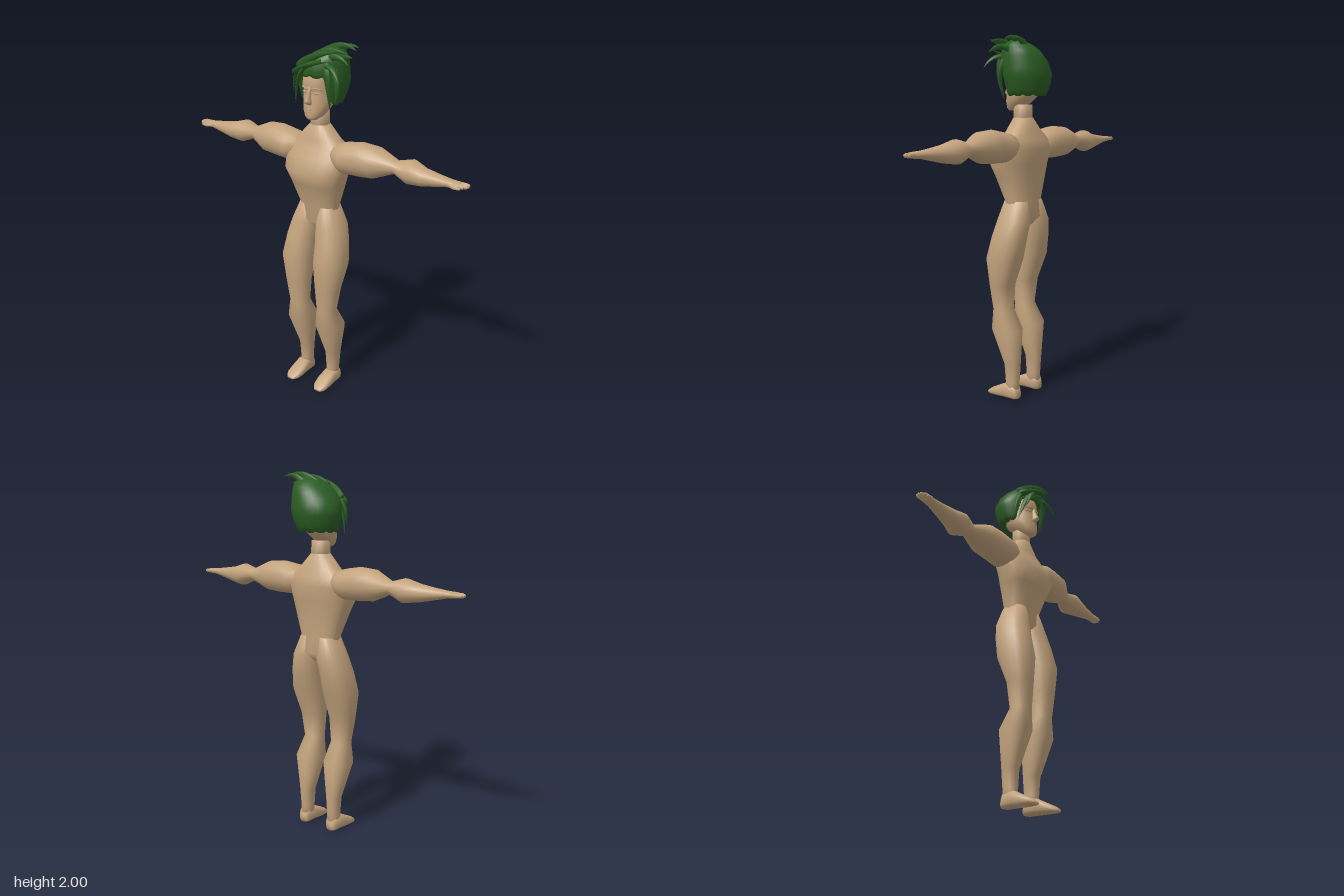
import * as THREE from 'three';

const skin = new THREE.MeshStandardMaterial({ color: 0xc2a27c });
skin.name = 'skin';
const green = new THREE.MeshStandardMaterial({ color: 0x2a5c22, side: THREE.DoubleSide });
green.name = 'green hair';

// Skin over a list of equal rings of points; optional end caps.
function skinRings(rings, caps = true) {
  const n = rings[0].length, pos = [], idx = [];
  rings.forEach(r => r.forEach(p => pos.push(p.x, p.y, p.z)));
  for (let i = 0; i < rings.length - 1; i++) for (let j = 0; j < n; j++) {
    const a = i * n + j, b = i * n + (j + 1) % n;
    idx.push(a, b, b + n, a, b + n, a + n);
  }
  if (caps) [0, rings.length - 1].forEach((k, end) => {
    const c = new THREE.Vector3();
    rings[k].forEach(p => c.addScaledVector(p, 1 / n));
    const ci = pos.length / 3;
    pos.push(c.x, c.y, c.z);
    for (let j = 0; j < n; j++) {
      const a = k * n + j, b = k * n + (j + 1) % n;
      if (end) idx.push(a, b, ci); else idx.push(b, a, ci);
    }
  });
  const g = new THREE.BufferGeometry();
  g.setAttribute('position', new THREE.Float32BufferAttribute(pos, 3));
  g.setIndex(idx);
  g.computeVertexNormals();
  return g;
}

// Rounded cross-sections [t, uMin, uMax, vMin, vMax] in ascending t.
// axis y: u=z v=x; axis x: u=y v=z; axis z: u=x v=y
function loft(axis, sections, n = 16, e = 2.2) {
  const bend = c => Math.sign(c) * Math.abs(c) ** (2 / e);
  return skinRings(sections.map(([t, u0, u1, v0, v1]) => Array.from({ length: n }, (_, j) => {
    const a = j / n * Math.PI * 2;
    const u = (u0 + u1) / 2 + (u1 - u0) / 2 * bend(Math.cos(a));
    const v = (v0 + v1) / 2 + (v1 - v0) / 2 * bend(Math.sin(a));
    if (axis === 'y') return new THREE.Vector3(v, t, u);
    if (axis === 'x') return new THREE.Vector3(t, u, v);
    return new THREE.Vector3(u, v, t);
  })));
}

function mirrored(g) {
  const m = g.clone().scale(-1, 1, 1), ix = m.index.array;
  for (let i = 0; i < ix.length; i += 3) [ix[i], ix[i + 1]] = [ix[i + 1], ix[i]];
  m.computeVertexNormals();
  return m;
}

// Tapered lock of hair along a bent path
function lock(a, b, c, width, thick) {
  const curve = new THREE.QuadraticBezierCurve3(new THREE.Vector3(...a), new THREE.Vector3(...b), new THREE.Vector3(...c));
  const steps = 7, f = curve.computeFrenetFrames(steps);
  return skinRings(Array.from({ length: steps + 1 }, (_, i) => {
    const t = i / steps, s = 0.03 + 0.97 * Math.pow(1 - t, 0.8), p = curve.getPointAt(t);
    return Array.from({ length: 6 }, (_, j) => {
      const q = j / 6 * Math.PI * 2;
      return p.clone().addScaledVector(f.normals[i], Math.cos(q) * thick * s)
        .addScaledVector(f.binormals[i], Math.sin(q) * width * s);
    });
  }));
}

// Hair shell sections: y, zMin, zMax, xMin, xMax
const shell = [
  [1.67, -0.115, 0.075, -0.105, 0.105], [1.74, -0.145, 0.085, -0.13, 0.13], [1.80, -0.157, 0.095, -0.143, 0.148],
  [1.87, -0.145, 0.105, -0.112, 0.148], [1.92, -0.125, 0.09, -0.06, 0.145],
  [1.955, -0.09, 0.06, -0.01, 0.135], [1.98, -0.04, 0.02, 0.04, 0.1]];
function shellAt(y) {
  let k = 0;
  while (k < shell.length - 2 && y > shell[k + 1][0]) k++;
  const t = (y - shell[k][0]) / (shell[k + 1][0] - shell[k][0]);
  return shell[k].map((v, i) => v + (shell[k + 1][i] - v) * t);
}
function hairShell() {
  const n = 36, rows = 10;
  // hairline: high over the face, low around the sides and nape, slightly ragged
  const hem = (a, j) => {
    const d = Math.abs(Math.atan2(Math.sin(a), Math.cos(a)));
    return 1.83 - 0.145 * THREE.MathUtils.smoothstep(d, 0.6, 1.05) + (j % 3 === 0 ? 0.01 : 0);
  };
  return skinRings(Array.from({ length: rows + 2 }, (_, i) => Array.from({ length: n }, (_, j) => {
    const a = j / n * Math.PI * 2, t = Math.max(0, i - 1) / rows;
    const y = THREE.MathUtils.lerp(hem(a, j), 1.98, t);
    const [, z0, z1, x0, x1] = shellAt(y), s = i === 0 ? 0.72 : 1;
    return new THREE.Vector3((x0 + x1) / 2 + (x1 - x0) / 2 * s * Math.sin(a), y + (i === 0 ? 0.012 : 0),
      (z0 + z1) / 2 + (z1 - z0) / 2 * s * Math.cos(a));
  })));
}

export function createModel() {
  const model = new THREE.Group();
  const add = (name, g, mat = skin) => {
    const m = new THREE.Mesh(g, mat);
    m.name = name;
    model.add(m);
  };
  const pair = (name, g) => { add('left' + name, g); add('right' + name, mirrored(g)); };

  // Torso and neck
  add('torso', loft('y', [
    [0.985, -0.05, 0.04, -0.02, 0.02], [1.03, -0.085, 0.08, -0.13, 0.13], [1.12, -0.073, 0.076, -0.118, 0.118],
    [1.25, -0.085, 0.12, -0.162, 0.162], [1.32, -0.092, 0.15, -0.186, 0.186], [1.40, -0.105, 0.112, -0.2, 0.2],
    [1.45, -0.092, 0.085, -0.185, 0.185], [1.495, -0.072, 0.066, -0.125, 0.125], [1.57, -0.05, 0.05, -0.052, 0.052]], 24, 2.4));
  add('neck', loft('y', [[1.55, -0.05, 0.05, -0.052, 0.052], [1.64, -0.048, 0.05, -0.05, 0.05]]));

  // Arms
  pair('Arm', loft('x', [
    [0.10, 1.36, 1.48, -0.075, 0.07], [0.18, 1.335, 1.5, -0.088, 0.1], [0.27, 1.335, 1.515, -0.085, 0.088],
    [0.36, 1.343, 1.508, -0.092, 0.085], [0.475, 1.39, 1.457, -0.06, 0.027], [0.56, 1.355, 1.48, -0.092, 0.055],
    [0.64, 1.365, 1.457, -0.06, 0.046], [0.72, 1.382, 1.445, -0.044, 0.035], [0.79, 1.397, 1.436, -0.032, 0.028],
    [0.845, 1.402, 1.433, -0.03, 0.03]], 18, 2.1));
  // Fingers and thumb
  [0.885, 0.89, 0.888, 0.875].forEach((tip, i) => {
    const z = -0.022 + i * 0.014;
    pair('Finger' + (i + 1), loft('x', [
      [0.82, 1.406, 1.43, z - 0.008, z + 0.008], [tip - 0.008, 1.407, 1.428, z - 0.007, z + 0.007],
      [tip, 1.412, 1.424, z - 0.004, z + 0.004]], 8));
  });
  pair('Thumb', loft('x', [
    [0.78, 1.404, 1.424, 0.008, 0.026], [0.83, 1.4, 1.42, 0.02, 0.038], [0.86, 1.405, 1.417, 0.024, 0.036]], 8));

  // Legs
  pair('Leg', loft('y', [
    [0.03, -0.036, 0.04, 0.06, 0.135], [0.1, -0.04, 0.04, 0.062, 0.13], [0.2, -0.045, 0.046, 0.055, 0.138],
    [0.4, -0.05, 0.12, 0.02, 0.18], [0.51, 0.01, 0.118, 0.04, 0.153], [0.65, 0.0, 0.13, 0.03, 0.178],
    [0.8, -0.058, 0.145, 0.016, 0.202], [0.92, -0.08, 0.118, 0.012, 0.185], [1.01, -0.092, 0.096, 0.001, 0.162],
    [1.12, -0.07, 0.07, 0.005, 0.114]], 18, 2.3));
  pair('Foot', loft('z', [
    [-0.042, 0.075, 0.122, 0.004, 0.05], [-0.025, 0.06, 0.137, 0, 0.08], [0.035, 0.057, 0.142, 0, 0.085],
    [0.09, 0.053, 0.145, 0, 0.058], [0.135, 0.06, 0.142, 0, 0.036], [0.16, 0.08, 0.125, 0.002, 0.018]], 16, 2.8));

  // Head
  add('head', loft('y', [
    [1.607, 0.045, 0.088, -0.026, 0.026], [1.622, 0.0, 0.097, -0.046, 0.046], [1.655, -0.04, 0.097, -0.066, 0.066],
    [1.69, -0.085, 0.093, -0.077, 0.077], [1.735, -0.105, 0.09, -0.081, 0.081], [1.757, -0.11, 0.086, -0.082, 0.082],
    [1.778, -0.11, 0.096, -0.084, 0.084], [1.83, -0.11, 0.09, -0.084, 0.084], [1.88, -0.09, 0.07, -0.065, 0.075],
    [1.92, -0.05, 0.03, -0.02, 0.06]], 28, 2.3));
  // Face relief
  add('nose', loft('y', [
    [1.688, 0.07, 0.102, -0.014, 0.014], [1.7, 0.07, 0.124, -0.018, 0.018], [1.712, 0.07, 0.122, -0.014, 0.014],
    [1.75, 0.07, 0.104, -0.008, 0.008], [1.785, 0.07, 0.096, -0.012, 0.012]], 12));
  [[1.665, 0.027, 'upperLip'], [1.653, 0.022, 'lowerLip']].forEach(([y, w, name]) =>
    add(name, loft('y', [[y - 0.006, 0.06, 0.096, -w * 0.6, w * 0.6], [y, 0.06, 0.106, -w, w], [y + 0.006, 0.06, 0.096, -w * 0.6, w * 0.6]], 12)));
  pair('Brow', loft('x', [
    [0.012, 1.764, 1.776, 0.07, 0.099], [0.035, 1.769, 1.783, 0.065, 0.097], [0.062, 1.768, 1.776, 0.05, 0.075]], 8));
  pair('Eyelid', loft('x', [
    [0.018, 1.748, 1.752, 0.07, 0.084], [0.035, 1.744, 1.757, 0.065, 0.089], [0.054, 1.748, 1.753, 0.05, 0.076]], 8));
  pair('Ear', loft('y', [
    [1.69, -0.02, 0, 0.065, 0.084], [1.73, -0.035, 0.005, 0.07, 0.094], [1.76, -0.03, 0, 0.07, 0.092]], 8));

  // Hair
  add('hairShell', hairShell(), green);
  [
    // swept tips
    [[0.0, 1.92, 0.05], [0.1, 2.0, 0.07], [0.21, 1.965, 0.05], 0.03, 0.018],
    [[0.0, 1.92, -0.03], [0.11, 2.025, -0.03], [0.205, 1.97, -0.03], 0.035, 0.02],
    [[0.05, 1.92, 0.04], [0.15, 1.97, 0.05], [0.22, 1.91, 0.055], 0.03, 0.02],
    [[0.03, 1.9, -0.07], [0.11, 2.01, -0.07], [0.19, 1.975, -0.075], 0.03, 0.018],
    [[0.07, 1.89, 0.05], [0.16, 1.91, 0.09], [0.2, 1.83, 0.11], 0.03, 0.018],
    [[-0.09, 1.86, 0.05], [0.0, 1.95, 0.11], [0.17, 1.98, 0.09], 0.035, 0.02],
    [[-0.1, 1.84, 0.06], [-0.02, 1.9, 0.13], [0.14, 1.93, 0.11], 0.035, 0.018],
    [[0.08, 1.9, -0.02], [0.16, 1.95, 0.0], [0.21, 1.94, 0.01], 0.03, 0.02],
    // fringe and side locks
    [[0.06, 1.92, 0.06], [-0.07, 1.91, 0.12], [-0.115, 1.67, 0.06], 0.035, 0.016],
    [[0.03, 1.91, 0.05], [-0.12, 1.9, 0.08], [-0.135, 1.73, 0.05], 0.035, 0.018],
    [[0.0, 1.9, 0.08], [-0.06, 1.87, 0.12], [-0.085, 1.75, 0.09], 0.028, 0.014],
    [[0.07, 1.91, 0.06], [0.13, 1.85, 0.1], [0.1, 1.67, 0.05], 0.032, 0.016],
    [[0.1, 1.88, 0.03], [0.165, 1.82, 0.06], [0.13, 1.7, 0.04], 0.03, 0.016],
  ].forEach((p, i) => add('hairLock' + (i + 1), lock(...p), green));
  return model;
}
